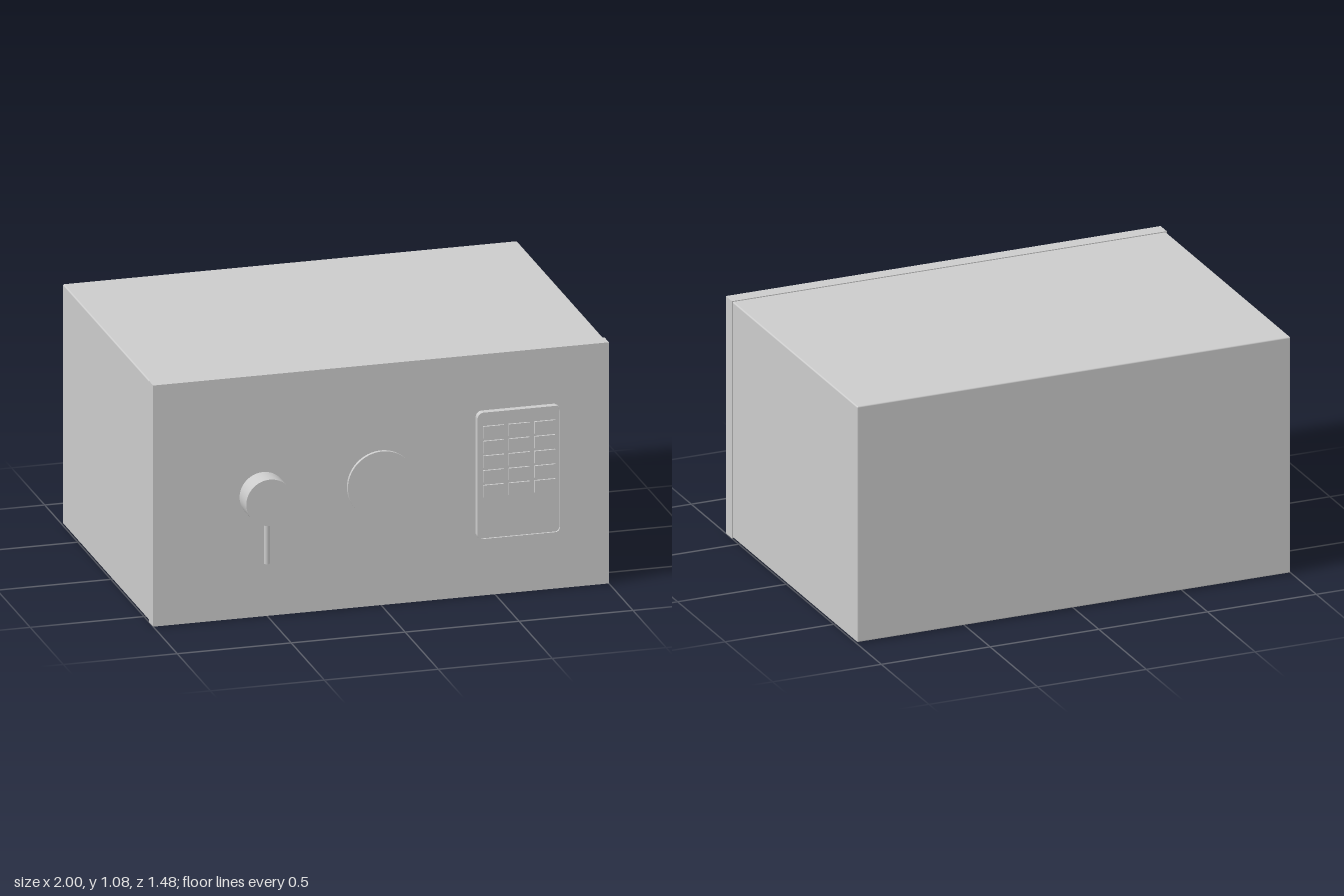
import * as THREE from 'three';
import { RoundedBoxGeometry } from 'three/addons/geometries/RoundedBoxGeometry.js';

const material = new THREE.MeshStandardMaterial({ color: 0xcccccc });

function add(parent, name, geometry, x, y, z) {
  const mesh = new THREE.Mesh(geometry, material);
  mesh.name = name;
  mesh.position.set(x, y, z);
  parent.add(mesh);
  return mesh;
}

// Rounded rectangle centred on the origin
function roundedRect(Type, w, h, r) {
  const x = w / 2, y = h / 2, s = new Type();
  s.moveTo(-x + r, -y);
  s.lineTo(x - r, -y);
  s.absarc(x - r, -y + r, r, -Math.PI / 2, 0);
  s.lineTo(x, y - r);
  s.absarc(x - r, y - r, r, 0, Math.PI / 2);
  s.lineTo(-x + r, y);
  s.absarc(-x + r, y - r, r, Math.PI / 2, Math.PI);
  s.lineTo(-x, -y + r);
  s.absarc(-x + r, -y + r, r, Math.PI, Math.PI * 1.5);
  return s;
}

const extrude = (shape, depth) =>
  new THREE.ExtrudeGeometry(shape, { depth, bevelEnabled: false, curveSegments: 8 });

// Cylinder whose axis points forward
const disc = (radius, depth) =>
  new THREE.CylinderGeometry(radius, radius, depth, 64).rotateX(Math.PI / 2);

export function createModel() {
  const safe = new THREE.Group();
  safe.name = 'safe';
  const H = 1.075, face = 0.637;

  // Cabinet with softened edges, and the front slab
  add(safe, 'cabinet', new RoundedBoxGeometry(1.994, H - 0.006, 1.313, 3, 0.006), 0, H / 2, -0.0815);
  add(safe, 'frontPanel', new THREE.BoxGeometry(2, H, face - 0.572), 0, H / 2, (face + 0.572) / 2);

  // Turning knob with its lever
  const knob = new THREE.Group();
  knob.name = 'knob';
  knob.position.set(-0.518, 0.54, face);
  safe.add(knob);
  add(knob, 'knobBody', disc(0.103, 0.102), 0, 0, 0.051);
  add(knob, 'knobLever', new THREE.CylinderGeometry(0.013, 0.013, 0.2, 20), 0, -0.185, 0.058);

  // Round cover plate
  add(safe, 'coverPlate', disc(0.15, 0.016), 0, 0.54, face + 0.008);

  // Keypad: base plate, raised rim and keys
  const keypad = new THREE.Group();
  keypad.name = 'keypad';
  keypad.position.set(0.599, 0.54, face);
  safe.add(keypad);
  add(keypad, 'keypadBase', extrude(roundedRect(THREE.Shape, 0.366, 0.566, 0.025), 0.021), 0, 0, 0);
  const rim = roundedRect(THREE.Shape, 0.368, 0.57, 0.027);
  rim.holes.push(roundedRect(THREE.Path, 0.354, 0.556, 0.02));
  add(keypad, 'keypadRim', extrude(rim, 0.03), 0, 0, 0);
  const key = new THREE.BoxGeometry(0.091, 0.054, 0.012);
  for (let row = 0; row < 5; row++) {
    for (let col = -1; col <= 1; col++) {
      add(keypad, 'key', key, col * 0.1125, 0.195 - row * 0.0655, 0.024);
    }
  }
  return safe;
}
